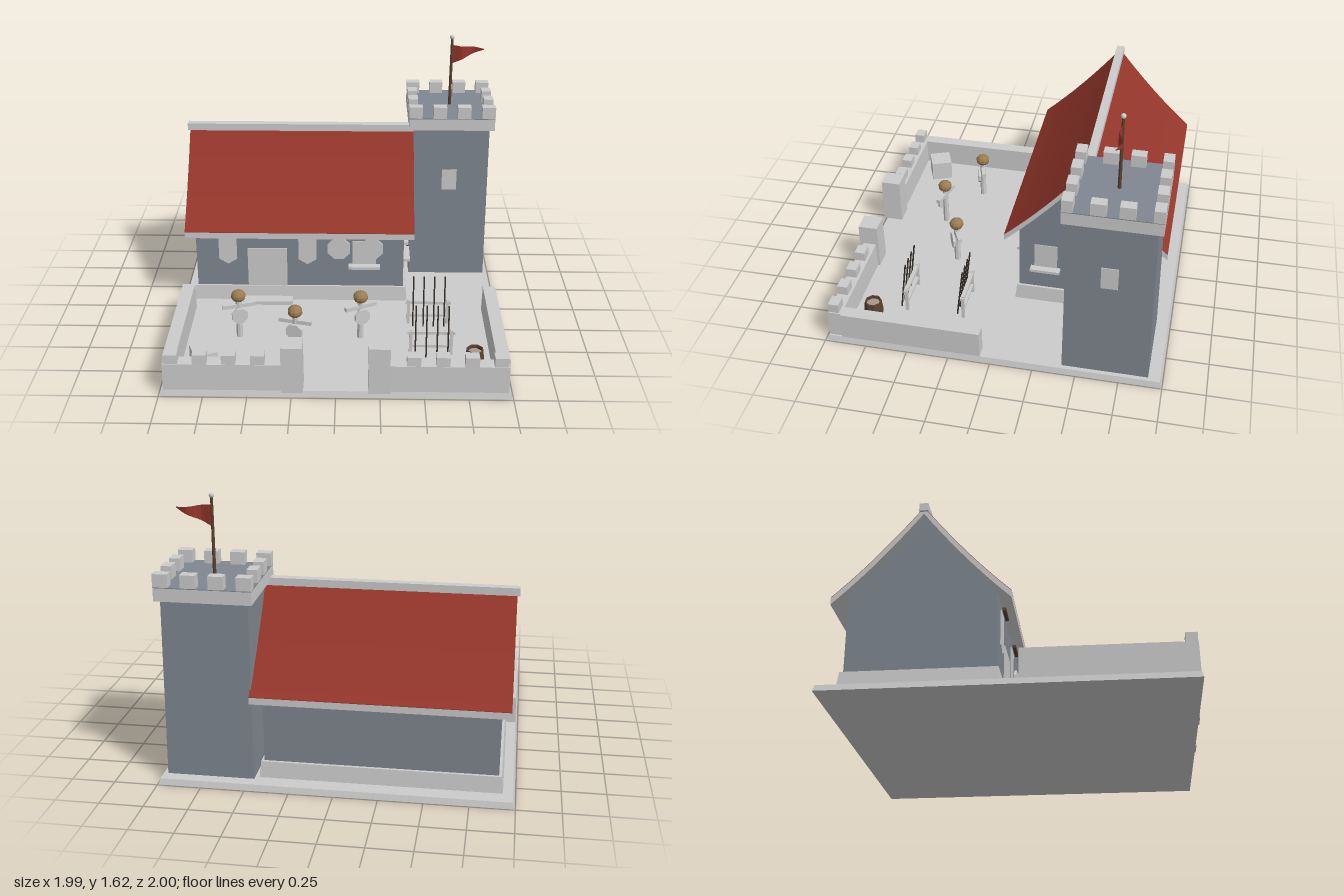
import * as THREE from 'three';

const mat = (color) => new THREE.MeshStandardMaterial({ color, flatShading: true });
const GREY = mat(0xcccccc), STONE = mat(0x808790), RED = mat(0x95362b);
const WOOD = mat(0x5a4230), DARK = mat(0x3b3029), STRAW = mat(0x9a7c50), LID = mat(0xa8968a);
RED.side = THREE.DoubleSide;

export function createModel() {
  const root = new THREE.Group();

  function add(name, geo, material, x = 0, y = 0, z = 0, parent = root) {
    const m = new THREE.Mesh(geo, material);
    m.name = name;
    m.position.set(x, y, z);
    parent.add(m);
    return m;
  }
  // box given by its extents, with an optional inward taper of the top
  function block(name, material, [x0, x1], [y0, y1], [z0, z1], taper = 0, parent = root) {
    const w = x1 - x0, h = y1 - y0, d = z1 - z0;
    const g = new THREE.BoxGeometry(w, h, d);
    const p = g.attributes.position;
    for (let i = 0; i < p.count; i++) {
      if (p.getY(i) < 0) continue;
      p.setX(i, p.getX(i) - Math.sign(p.getX(i)) * taper);
      p.setZ(i, p.getZ(i) - Math.sign(p.getZ(i)) * taper);
    }
    g.computeVertexNormals();
    return add(name, g, material, (x0 + x1) / 2, (y0 + y1) / 2, (z0 + z1) / 2, parent);
  }
  // octagonal plate facing +z
  const disc = (r, t) => new THREE.CylinderGeometry(r, r, t, 8).rotateY(Math.PI / 8).rotateX(Math.PI / 2);

  // ground slab
  block('base', GREY, [-0.995, 0.995], [0, 0.035], [-0.995, 0.988], 0.01);

  // house: the roof is a concave curve mirrored about the ridge
  const RIDGE = -0.461;
  const curve = new THREE.QuadraticBezierCurve(
    new THREE.Vector2(0.484, 0.545), new THREE.Vector2(0.242, 0.764), new THREE.Vector2(0, 1.075));
  const slope = curve.getPoints(14);
  const mirrored = (pts) => [...pts, ...pts.slice(0, -1).reverse().map((p) => new THREE.Vector2(-p.x, p.y))];
  const lowered = (pts, dy) => pts.map((p) => new THREE.Vector2(p.x, p.y - dy));
  function prism(name, pts, material, x0, x1) {
    const g = new THREE.ExtrudeGeometry(new THREE.Shape(pts), { depth: x1 - x0, bevelEnabled: false });
    g.rotateY(Math.PI / 2);
    return add(name, g, material, x0, 0, RIDGE);
  }
  const shell = (top, bottom) => [...mirrored(lowered(slope, top)), ...mirrored(lowered(slope, bottom)).reverse()];
  prism('roofTiles', shell(0, 0.003), RED, -0.96, 0.47);
  prism('roofSlab', shell(0.003, 0.042), GREY, -0.96, 0.47);
  block('ridgeCap', GREY, [-0.975, 0.47], [1.045, 1.09], [RIDGE - 0.025, RIDGE + 0.025]);
  const under = lowered(slope, 0.038).filter((p) => p.x < 0.4);
  prism('houseWalls', mirrored([new THREE.Vector2(0.402, 0.035), new THREE.Vector2(0.402, 0.57), ...under]),
    STONE, -0.905, 0.41);
  block('housePlinth', GREY, [-0.93, 0.435], [0.035, 0.13], [-0.89, -0.036], 0.01);

  // house front: door, step, window, banners and shields lie almost flush
  block('door', GREY, [-0.58, -0.33], [0.1, 0.395], [-0.07, -0.052]);
  block('doorStep', GREY, [-0.615, -0.295], [0.035, 0.06], [-0.05, 0.035]);
  block('frontWindow', GREY, [0.085, 0.235], [0.288, 0.45], [-0.07, -0.056]);
  block('frontSill', GREY, [0.06, 0.26], [0.27, 0.288], [-0.07, -0.012]);
  for (const x of [-0.705, -0.2]) {
    const s = new THREE.Shape();
    s.moveTo(-0.057, 0.525);
    s.lineTo(-0.057, 0.32);
    s.lineTo(0, 0.285);
    s.lineTo(0.057, 0.32);
    s.lineTo(0.057, 0.525);
    add('banner', new THREE.ExtrudeGeometry(s, { depth: 0.006, bevelEnabled: false }), GREY, x, 0, -0.058);
    block('bannerRod', WOOD, [x - 0.07, x + 0.07], [0.515, 0.533], [-0.045, -0.027]);
  }
  for (const x of [0, 0.207]) add('wallShield', disc(0.077, 0.014), GREY, x, 0.4, -0.052);
  // windows of the end wall
  for (const z of [-0.22, -0.45]) {
    block('sideWindow', GREY, [0.4, 0.414], [0.288, 0.45], [z - 0.07, z + 0.07]);
    block('sideSill', GREY, [0.4, 0.455], [0.27, 0.288], [z - 0.09, z + 0.09]);
  }

  // tower with crown and merlons
  const TX = 0.71, TZ = -0.666, C = 0.271;
  block('towerShaft', STONE, [TX - 0.25, TX + 0.25], [0.035, 1.08], [TZ - 0.25, TZ + 0.25], 0.008);
  block('towerCrown', GREY, [TX - C, TX + C], [1.07, 1.145], [TZ - C, TZ + C]);
  block('towerFloor', STONE, [TX - C, TX + C], [1.145, 1.15], [TZ - C, TZ + C]);
  for (const s of [-1, 1]) {
    for (let i = 0; i < 4; i++) {
      const t = (i - 1.5) * 0.1533;
      add('crownMerlon', new THREE.BoxGeometry(0.084, 0.075, 0.06), GREY, TX + t, 1.1865, TZ + s * (C - 0.03));
      if (i === 1 || i === 2) {
        add('crownMerlon', new THREE.BoxGeometry(0.06, 0.075, 0.084), GREY, TX + s * (C - 0.03), 1.1865, TZ + t);
      }
    }
  }
  block('towerFrontWindow', GREY, [0.66, 0.755], [0.65, 0.79], [-0.44, -0.417]);
  block('towerSideWindow', GREY, [0.93, 0.959], [0.65, 0.79], [TZ - 0.048, TZ + 0.048]);

  // flagpole and rippling pennant
  add('flagPole', new THREE.CylinderGeometry(0.008, 0.01, 0.44, 8), WOOD, TX, 1.37, TZ);
  add('poleBall', new THREE.SphereGeometry(0.015, 10, 8), GREY, TX, 1.602, TZ);
  const flag = new THREE.PlaneGeometry(0.2, 1, 10, 1);
  const fp = flag.attributes.position;
  for (let i = 0; i < fp.count; i++) {
    const t = (fp.getX(i) + 0.1) / 0.2;
    const y = fp.getY(i) > 0 ? 1.55 - 0.022 * t : 1.428 + 0.095 * t;
    fp.setXYZ(i, t * 0.2, y, 0.016 * Math.sin(t * 7) * Math.min(1, t * 3));
  }
  flag.computeVertexNormals();
  add('flag', flag, RED, TX + 0.005, 0, TZ);

  // yard walls, mirrored left and right of the gate
  for (const s of [-1, 1]) {
    const span = (a, b) => (s > 0 ? [a, b] : [-b, -a]);
    block('sideWall', GREY, span(0.905, 0.985), [0.035, 0.2], [0.062, 0.9], 0.002);
    block('frontWall', GREY, span(0.29, 0.975), [0.035, 0.2], [0.89, 0.978], 0.003);
    block('gatePillar', GREY, span(0.183, 0.307), [0.035, 0.325], [0.876, 1], 0.002);
    for (let i = 0; i < 4; i++) {
      const x = 0.437 + i * 0.163;
      block('wallMerlon', GREY, span(x - 0.039, x + 0.039), [0.195, 0.258], [0.91, 0.973]);
    }
  }

  // training dummies
  for (const [x, z, turn] of [[-0.595, 0.405, 0.3], [-0.245, 0.58, -0.24], [0.138, 0.405, 0.46]]) {
    const d = new THREE.Group();
    d.name = 'trainingDummy';
    d.position.set(x, 0, z);
    d.rotation.y = turn;
    root.add(d);
    add('post', new THREE.CylinderGeometry(0.018, 0.02, 0.27, 8), GREY, 0, 0.155, 0, d);
    block('arms', GREY, [-0.1, 0.1], [0.238, 0.262], [-0.013, 0.013], 0, d);
    add('chestTarget', disc(0.052, 0.016), GREY, 0, 0.19, 0.026, d);
    add('head', new THREE.SphereGeometry(0.045, 10, 7), STRAW, 0, 0.315, 0, d).scale.y = 0.85;
  }

  // spear racks
  for (const z of [0.235, 0.585]) {
    const rack = new THREE.Group();
    rack.name = 'spearRack';
    rack.position.set(0.555, 0, z);
    root.add(rack);
    for (const x of [-0.12, 0.12]) block('rackPost', GREY, [x - 0.009, x + 0.009], [0.035, 0.2], [-0.009, 0.009], 0, rack);
    block('rackRail', GREY, [-0.14, 0.14], [0.175, 0.193], [-0.012, 0.012], 0, rack);
    block('rackLowRail', GREY, [-0.12, 0.12], [0.085, 0.1], [-0.008, 0.008], 0, rack);
    for (let i = 0; i < 4; i++) {
      const spear = add('spear', new THREE.CylinderGeometry(0.005, 0.005, 0.33, 6), DARK, -0.093 + i * 0.064, 0.2, 0.022, rack);
      spear.rotation.x = -0.12;
    }
  }

  // barrel with a sunken lid, and a crate
  const barrel = [[0, 0], [0.047, 0], [0.057, 0.075], [0.05, 0.145], [0.043, 0.145], [0.043, 0.12], [0, 0.12]];
  add('barrel', new THREE.LatheGeometry(barrel.map(([r, y]) => new THREE.Vector2(r, y)), 8).rotateY(Math.PI / 8),
    WOOD, 0.797, 0.035, 0.755);
  add('barrelLid', new THREE.CylinderGeometry(0.043, 0.043, 0.006, 8).rotateY(Math.PI / 8), LID, 0.797, 0.157, 0.755);
  add('crate', new THREE.BoxGeometry(0.135, 0.13, 0.135), GREY, -0.768, 0.1, 0.755).rotation.y = 0.38;

  return root;
}
